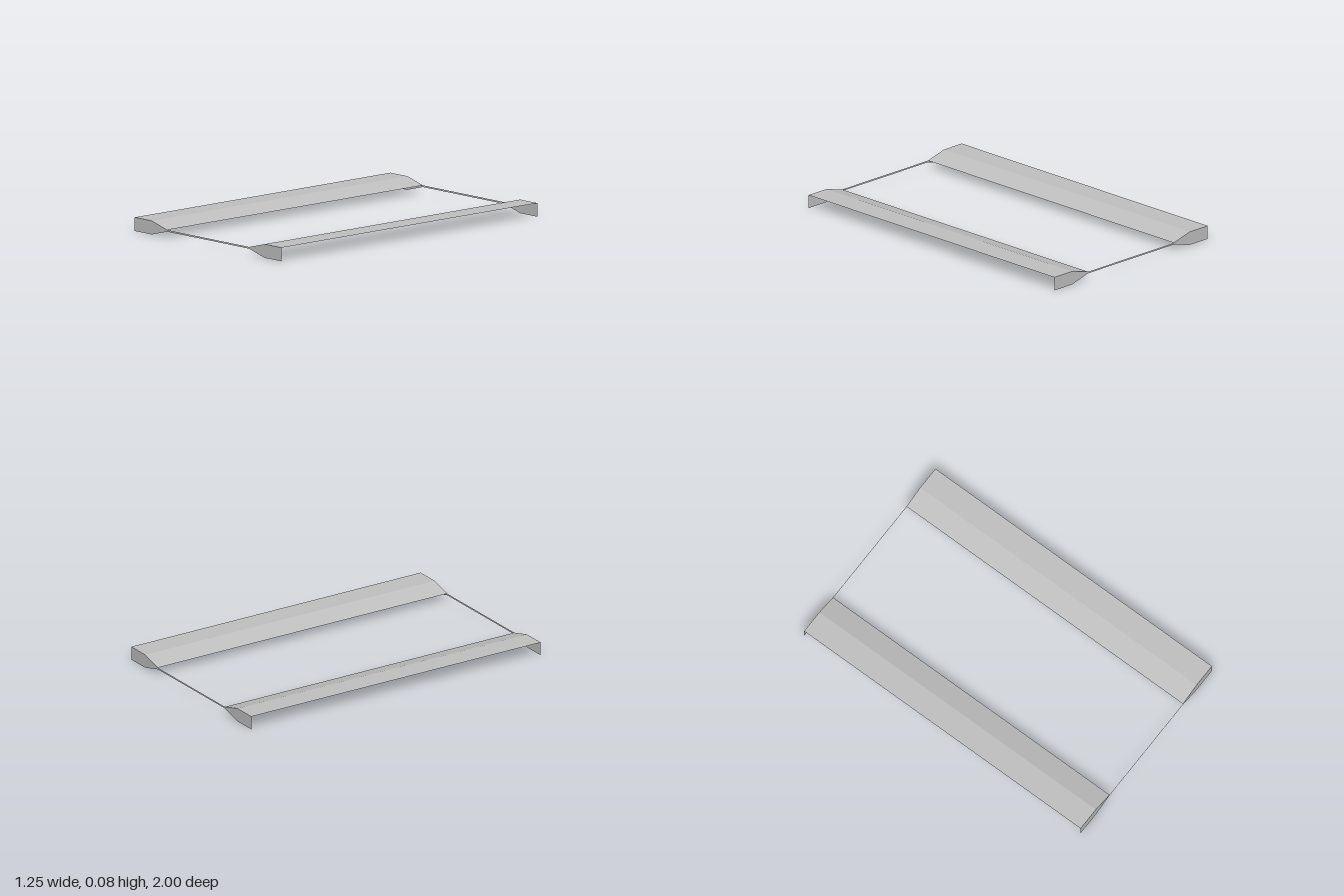
import * as THREE from 'three';

const HALF_LENGTH = 1;
const MID_Y = 0.041;
// Upper half of the cross-section from the outer edge inward: [x, height above the middle]
const PROFILE = [[0.625, 0.04], [0.48, 0.04], [0.35, 0.005]];

// Flat sheet spanning the full length between two profile points, facing up
function sheetGeometry([x1, h1], [x2, h2]) {
  const y1 = MID_Y + h1, y2 = MID_Y + h2, z = HALF_LENGTH;
  const geometry = new THREE.BufferGeometry();
  geometry.setAttribute('position', new THREE.Float32BufferAttribute(
    [x1, y1, z, x2, y2, z, x2, y2, -z, x1, y1, -z], 3));
  geometry.setIndex(x1 < x2 ? [0, 1, 2, 0, 2, 3] : [0, 2, 1, 0, 3, 2]);
  geometry.computeVertexNormals();
  return geometry;
}

// End plate outline: two deep ends joined by a narrow strip
function endPlateGeometry() {
  const top = [
    ...PROFILE.map(([x, h]) => [-x, h]),
    ...[...PROFILE].reverse(),
  ];
  const bottom = [...top].reverse().map(([x, h]) => [x, -h]);
  const points = [...top, ...bottom].map(([x, h]) => new THREE.Vector2(x, MID_Y + h));
  return new THREE.ShapeGeometry(new THREE.Shape(points));
}

export function createModel() {
  const model = new THREE.Group();
  model.name = 'openFrame';
  const grey = new THREE.MeshStandardMaterial({ color: 0xc0c0c0, side: THREE.DoubleSide });
  grey.name = 'light grey';

  const add = (geometry, name, parent = model) => {
    const mesh = new THREE.Mesh(geometry, grey);
    mesh.name = name;
    parent.add(mesh);
    return mesh;
  };

  // Long top panels: a level outer sheet and a sloping inner sheet on each side
  for (const [side, sign] of [['left', 1], ['right', -1]]) {
    const panel = new THREE.Group();
    panel.name = `${side}Panel`;
    const [outer, ridge, inner] = PROFILE.map(([x, h]) => [sign * x, h]);
    add(sheetGeometry(outer, ridge), `${side}LevelSheet`, panel);
    add(sheetGeometry(ridge, inner), `${side}SlopingSheet`, panel);
    model.add(panel);
  }

  // Upright plates closing the front and back ends
  add(endPlateGeometry(), 'frontPlate').position.z = HALF_LENGTH;
  const back = add(endPlateGeometry(), 'backPlate');
  back.rotation.y = Math.PI;
  back.position.z = -HALF_LENGTH;

  return model;
}
